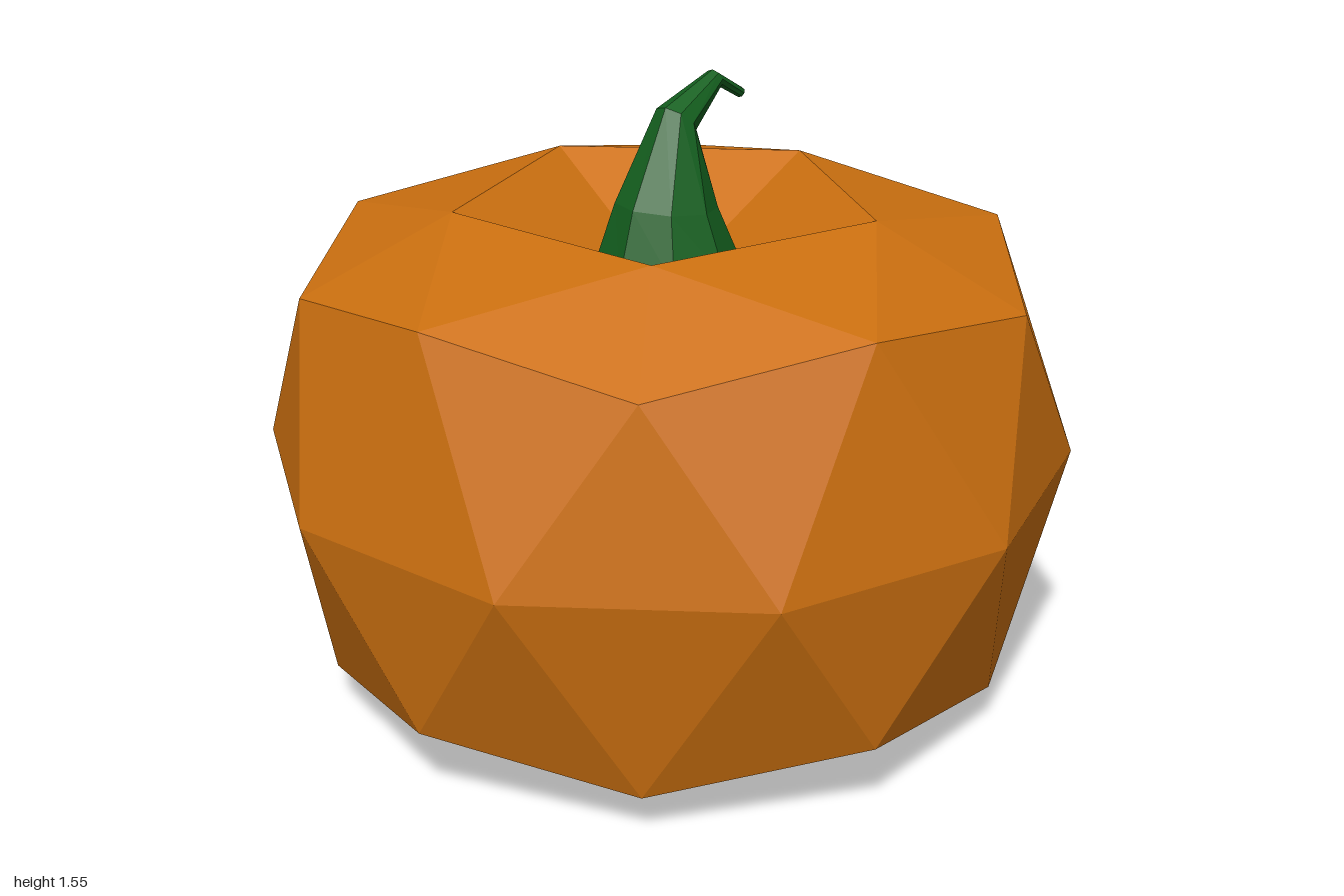
import * as THREE from 'three';

const HEIGHT = 1.27;

function flatMesh(name, points, color) {
  const geometry = new THREE.BufferGeometry().setFromPoints(points);
  geometry.computeVertexNormals();
  const mesh = new THREE.Mesh(geometry, new THREE.MeshStandardMaterial({ color, flatShading: true }));
  mesh.name = name;
  return mesh;
}

// Upper half of a squashed, once-subdivided icosahedron with a sunken pole
function halfBodyPoints() {
  const at = (r, y, degrees) => {
    const a = THREE.MathUtils.degToRad(degrees);
    return new THREE.Vector3(r * Math.cos(a), y, r * Math.sin(a));
  };
  const pole = new THREE.Vector3(0, 1.04, 0);
  const rim = (k) => at(0.525, HEIGHT, 72 * k);
  const shoulder = (j) => (j % 2 ? at(0.85, 1.16, 36 * j) : at(0.894, 1.085, 36 * j));
  const equator = (j) => at(1, HEIGHT / 2, 18 + 36 * j);
  const points = [];
  for (let k = 0; k < 5; k++) {
    const j = 2 * k;
    points.push(pole, rim(k + 1), rim(k)); // dimple
    points.push(rim(k), rim(k + 1), shoulder(j + 1)); // sloping top
    points.push(rim(k), shoulder(j + 1), shoulder(j));
    points.push(rim(k + 1), shoulder(j + 2), shoulder(j + 1));
  }
  for (let j = 0; j < 10; j++) {
    points.push(shoulder(j), shoulder(j + 1), equator(j)); // side band
    points.push(shoulder(j + 1), equator(j + 1), equator(j));
  }
  return points;
}

// Eight-sided rings [x, y, radius, tilt] joined into a bent, tapering stem
function stemPoints() {
  const sections = [
    [0, 1.1, 0.18, 0],
    [-0.005, 1.25, 0.125, -0.1],
    [0.032, 1.455, 0.054, -0.72],
    [0.178, 1.528, 0.024, -1.15],
    [0.277, 1.472, 0.013, -2.1],
  ];
  const rings = sections.map(([x, y, r, tilt]) =>
    Array.from({ length: 8 }, (_, i) => {
      const a = (i * Math.PI) / 4;
      return new THREE.Vector3(r * Math.cos(a), 0, r * Math.sin(a))
        .applyAxisAngle(new THREE.Vector3(0, 0, 1), tilt)
        .add(new THREE.Vector3(x, y, 0));
    }));
  const points = [];
  for (let s = 0; s < rings.length - 1; s++) {
    for (let i = 0; i < 8; i++) {
      const n = (i + 1) % 8;
      const a = rings[s][i], b = rings[s][n], c = rings[s + 1][n], d = rings[s + 1][i];
      points.push(a, d, c, a, c, b);
    }
  }
  // end caps
  const base = rings[0], tip = rings[rings.length - 1];
  for (let i = 1; i < 7; i++) {
    points.push(base[0], base[i], base[i + 1]);
    points.push(tip[0], tip[i + 1], tip[i]);
  }
  return points;
}

export function createModel() {
  const group = new THREE.Group();
  group.name = 'pumpkin';

  // Body: the lower half is the upper half turned over
  const upper = flatMesh('upperBody', halfBodyPoints(), 0xcc7010);
  const lower = upper.clone();
  lower.name = 'lowerBody';
  lower.rotation.z = Math.PI;
  lower.position.y = HEIGHT;

  group.add(upper, lower, flatMesh('stem', stemPoints(), 0x14601f));
  return group;
}
